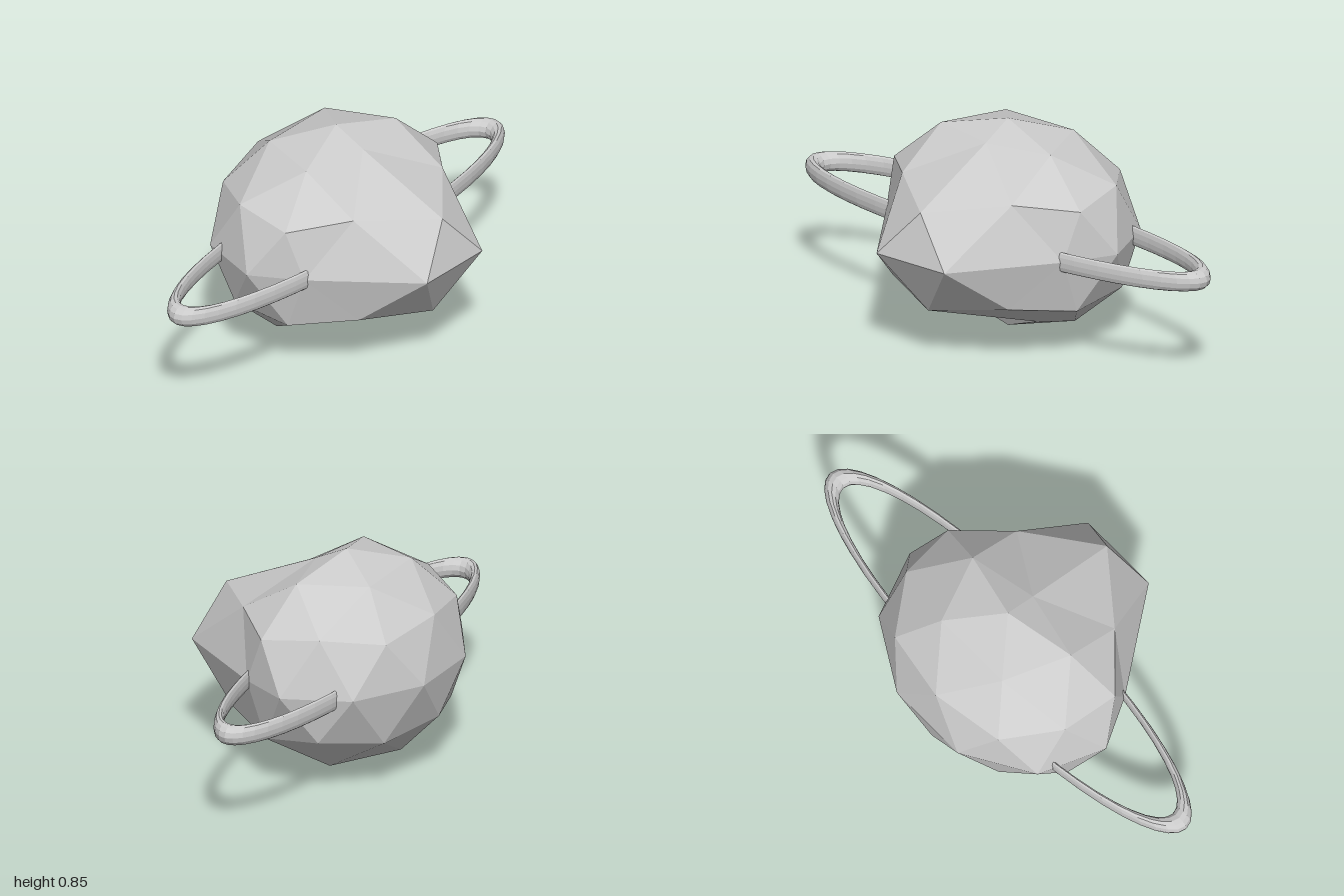
import * as THREE from 'three';

const CENTRE = new THREE.Vector3(-0.08, 0.4275, 0);

// Low-poly rock: a once-subdivided icosahedron with a pole up, its +x side pulled out
function rockGeometry() {
  const geo = new THREE.IcosahedronGeometry(1, 1);
  geo.rotateX(-Math.atan((1 + Math.sqrt(5)) / 2));
  geo.rotateY(Math.PI / 2);
  geo.scale(0.45, 0.4275, 0.55);
  const pos = geo.attributes.position;
  for (let i = 0; i < pos.count; i++) {
    const x = pos.getX(i);
    if (x > 0.155) pos.setX(i, 0.025 + 2.363 * (x - 0.191));
  }
  geo.computeVertexNormals();
  return geo;
}

// Flat-lying ring, squeezed along x into a long ellipse
function ringGeometry() {
  const geo = new THREE.TorusGeometry(0.96, 0.04, 12, 48);
  geo.rotateX(Math.PI / 2);
  geo.scale(0.2325, 1, 1);
  geo.computeVertexNormals();
  return geo;
}

export function createModel() {
  const group = new THREE.Group();
  const material = new THREE.MeshStandardMaterial({ color: 0xcccccc, flatShading: true });
  const parts = { rock: rockGeometry(), ring: ringGeometry() };
  for (const [name, geometry] of Object.entries(parts)) {
    const mesh = new THREE.Mesh(geometry, material);
    mesh.name = name;
    mesh.position.copy(CENTRE);
    group.add(mesh);
  }
  return group;
}
